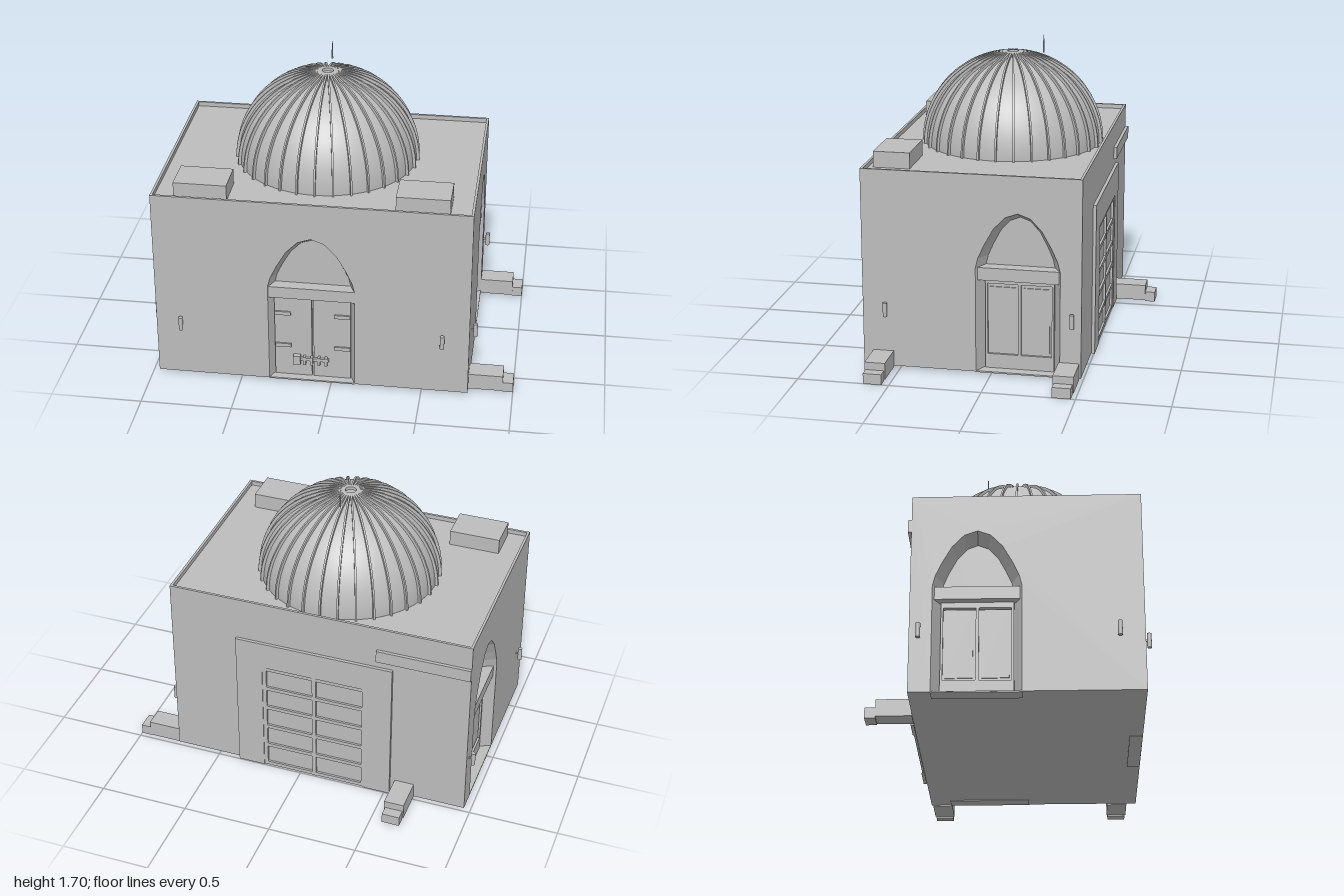
import * as THREE from 'three';

const X0 = -0.965, X1 = 0.755, Z0 = -0.49, Z1 = 0.70, Y0 = 0.015, Y1 = 1.115;
const CX = (X0 + X1) / 2, CZ = (Z0 + Z1) / 2, W = X1 - X0, D = Z1 - Z0;
const stone = new THREE.MeshStandardMaterial({ color: 0xbcbcbc });
stone.name = 'plain grey stone';

function add(parent, name, geometry) {
  const mesh = new THREE.Mesh(geometry, stone);
  mesh.name = name;
  parent.add(mesh);
  return mesh;
}

// Box given by its low and high limits on each axis
function box(parent, name, x0, x1, y0, y1, z0, z1) {
  const mesh = add(parent, name, new THREE.BoxGeometry(x1 - x0, y1 - y0, z1 - z0));
  mesh.position.set((x0 + x1) / 2, (y0 + y1) / 2, (z0 + z1) / 2);
  return mesh;
}

// Pointed arch outline, from the left foot over the apex to the right foot
function archPoints(cx, half, apex) {
  const right = [[1, 0], [0.94, 0.18], [0.79, 0.42], [0.57, 0.71], [0.30, 0.92]];
  const at = (s, [u, v]) => new THREE.Vector2(cx + s * half * u, 0.6 + v * (apex - 0.6));
  return [
    new THREE.Vector2(cx - half, Y0), ...right.map(p => at(-1, p)),
    new THREE.Vector2(cx, apex),
    ...right.slice().reverse().map(p => at(1, p)), new THREE.Vector2(cx + half, Y0),
  ];
}

// Wall facing local +z, with a splayed arched recess
function archedWall(name, x0, x1, cx, half, splay, depth) {
  const group = new THREE.Group();
  group.name = name;
  const outer = archPoints(cx, half, 0.912), inner = archPoints(cx, half - splay, 0.87);
  const outline = [[x1, Y0], [x1, Y1], [x0, Y1], [x0, Y0]].map(p => new THREE.Vector2(...p));
  add(group, 'wall', new THREE.ShapeGeometry(new THREE.Shape([...outline, ...outer])));
  add(group, 'recessBack', new THREE.ShapeGeometry(new THREE.Shape(inner))).position.z = -depth;
  const pos = [];
  for (let i = 0; i < outer.length - 1; i++) {
    const a = [outer[i].x, outer[i].y, 0], b = [outer[i + 1].x, outer[i + 1].y, 0];
    const c = [inner[i + 1].x, inner[i + 1].y, -depth], d = [inner[i].x, inner[i].y, -depth];
    pos.push(...a, ...d, ...c, ...a, ...c, ...b);
  }
  const reveal = new THREE.BufferGeometry();
  reveal.setAttribute('position', new THREE.Float32BufferAttribute(pos, 3));
  reveal.computeVertexNormals();
  add(group, 'archReveal', reveal);
  box(group, 'threshold', cx - half, cx + half, Y0 - 0.004, Y0 + 0.004, -depth, -0.001);
  return group;
}

// Wall lamp: upright tube on a short stem, projecting along local +z
function lamp(parent, x, z, turn) {
  const group = new THREE.Group();
  group.name = 'wallLamp';
  add(group, 'lampTube', new THREE.CylinderGeometry(0.012, 0.012, 0.078, 12)).position.z = 0.024;
  box(group, 'lampStem', -0.004, 0.004, -0.005, 0.005, 0, 0.02);
  group.position.set(x, 0.342, z);
  group.rotation.y = turn;
  parent.add(group);
}

// Low stepped block lying on the ground, projecting along local +z
function steppedBlock(parent, x, z, turn) {
  const group = new THREE.Group();
  group.name = 'steppedBlock';
  box(group, 'blockBody', -0.056, 0.056, 0.008, 0.1, 0, 0.188);
  box(group, 'blockTip', -0.05, 0.05, 0, 0.058, 0.188, 0.245);
  group.position.set(x, 0, z);
  group.rotation.y = turn;
  parent.add(group);
}

function frontWall() {
  const g = archedWall('frontWall', X0, X1, CX, 0.237, 0.03, 0.07);
  box(g, 'lintel', CX - 0.238, CX + 0.238, 0.533, 0.6, -0.07, -0.005);
  for (const s of [-1, 1]) {
    const span = (a, b) => [Math.min(CX + s * a, CX + s * b), Math.max(CX + s * a, CX + s * b)];
    box(g, 'doorLeaf', ...span(0.005, 0.21), 0.02, 0.535, -0.07, -0.045);
    for (const y of [0.2, 0.405]) {
      box(g, 'hingeStrap', ...span(0.12, 0.208), y, y + 0.022, -0.045, -0.036);
    }
  }
  // Bolt and its keepers
  box(g, 'lockBox', -0.212, -0.172, 0.1, 0.155, -0.045, -0.018);
  box(g, 'bolt', -0.172, -0.015, 0.125, 0.143, -0.04, -0.025);
  for (const x of [-0.15, -0.11, -0.07, -0.03]) {
    box(g, 'boltKeeper', x - 0.007, x + 0.007, 0.1, 0.15, -0.045, -0.022);
  }
  return g;
}

function sideWall(s) {
  const cx = s * 0.148;
  const [a, b] = s > 0 ? [-Z1, -Z0] : [Z0, Z1];
  const g = archedWall(s > 0 ? 'leftWall' : 'rightWall', a, b, cx, 0.228, 0.042, 0.085);
  box(g, 'lintel', cx - 0.218, cx + 0.218, 0.53, 0.6, -0.085, -0.015);
  // Glazed double window above a low sill panel
  box(g, 'sillPanel', cx - 0.187, cx + 0.187, 0.02, 0.1, -0.085, -0.058);
  box(g, 'topRail', cx - 0.187, cx + 0.187, 0.5, 0.53, -0.085, -0.058);
  for (const [u, w] of [[-0.18, 0.012], [0, 0.016], [0.18, 0.012]]) {
    box(g, 'stile', cx + u - w / 2, cx + u + w / 2, 0.1, 0.5, -0.085, -0.058);
  }
  for (const u of [-0.092, 0.092]) {
    box(g, 'windowLeaf', cx + u - 0.084, cx + u + 0.084, 0.1, 0.495, -0.085, -0.072);
    box(g, 'windowPane', cx + u - 0.07, cx + u + 0.07, 0.115, 0.48, -0.072, -0.066);
  }
  g.rotation.y = s * Math.PI / 2;
  g.position.x = s > 0 ? X1 : X0;
  return g;
}

function backWall() {
  const g = new THREE.Group();
  g.name = 'backWall';
  const wall = add(g, 'wall', new THREE.PlaneGeometry(W, Y1 - Y0));
  wall.position.set(CX, (Y0 + Y1) / 2, Z0);
  wall.rotation.y = Math.PI;
  // Raised surround with the gate set inside it
  const zb = Z0 - 0.018, d0 = -0.386, d1 = 0.217, top = 0.705;
  box(g, 'gateSurround', -0.533, d0, 0.01, 0.865, zb, Z0);
  box(g, 'gateSurround', d1, 0.37, 0.01, 0.865, zb, Z0);
  box(g, 'gateSurround', d0, d1, top, 0.865, zb, Z0);
  for (const x of [d0 + 0.011, (d0 + d1) / 2, d1 - 0.011]) {
    box(g, 'gateStile', x - 0.011, x + 0.011, 0.01, top, Z0 - 0.013, Z0);
  }
  for (let i = 0; i <= 5; i++) {
    const y = 0.022 + i * (top - 0.034) / 5;
    box(g, 'gateRail', d0, d1, y - 0.011, y + 0.011, Z0 - 0.012, Z0);
  }
  box(g, 'wallBeam', X0, -0.44, 0.91, 0.98, zb, Z0);
  return g;
}

function dome() {
  const g = new THREE.Group();
  g.name = 'dome';
  add(g, 'domeShell', new THREE.SphereGeometry(0.494, 96, 32, 0, Math.PI * 2, 0, Math.PI / 2));
  const arc = new THREE.Shape();
  const end = Math.PI / 2 - 0.06;
  arc.absarc(0, 0, 0.51, 0, end, false);
  arc.absarc(0, 0, 0.485, end, 0, true);
  const rib = new THREE.ExtrudeGeometry(arc, { depth: 0.01, bevelEnabled: false, curveSegments: 20 });
  rib.translate(0, 0, -0.005);
  for (let i = 0; i < 32; i++) add(g, 'domeRib', rib).rotation.y = i * Math.PI / 16;
  g.position.set(CX, 1.09, 0.042);
  return g;
}

export function createModel() {
  const model = new THREE.Group();
  model.name = 'domedBuilding';
  const front = frontWall();
  front.position.z = Z1;
  model.add(front, sideWall(1), sideWall(-1), backWall(), dome());

  // Floor, sunken roof and thin parapet
  const floor = add(model, 'floor', new THREE.PlaneGeometry(W, D));
  floor.rotation.x = Math.PI / 2;
  floor.position.set(CX, Y0, CZ);
  const roof = add(model, 'roof', new THREE.PlaneGeometry(W, D));
  roof.rotation.x = -Math.PI / 2;
  roof.position.set(CX, 1.09, CZ);
  const t = 0.014;
  box(model, 'parapet', X0, X1, 1.085, Y1, Z1 - t, Z1);
  box(model, 'parapet', X0, X1, 1.085, Y1, Z0, Z0 + t);
  box(model, 'parapet', X0, X0 + t, 1.085, Y1, Z0 + t, Z1 - t);
  box(model, 'parapet', X1 - t, X1, 1.085, Y1, Z0 + t, Z1 - t);

  // Roof boxes and finial
  box(model, 'roofBox', -0.845, -0.558, 1.09, 1.178, 0.46, 0.66);
  box(model, 'roofBox', 0.342, 0.63, 1.09, 1.178, 0.46, 0.66);
  add(model, 'finial', new THREE.CylinderGeometry(0.002, 0.005, 0.1, 8)).position.set(CX, 1.645, -0.132);

  for (const x of [-0.825, 0.61]) lamp(model, x, Z1, 0);
  for (const z of [0.572, -0.442]) {
    lamp(model, X1, z, Math.PI / 2);
    lamp(model, X0, z, -Math.PI / 2);
  }
  steppedBlock(model, X1, 0.59, Math.PI / 2);
  steppedBlock(model, X1, -0.425, Math.PI / 2);
  steppedBlock(model, -0.615, Z0, Math.PI);
  return model;
}
